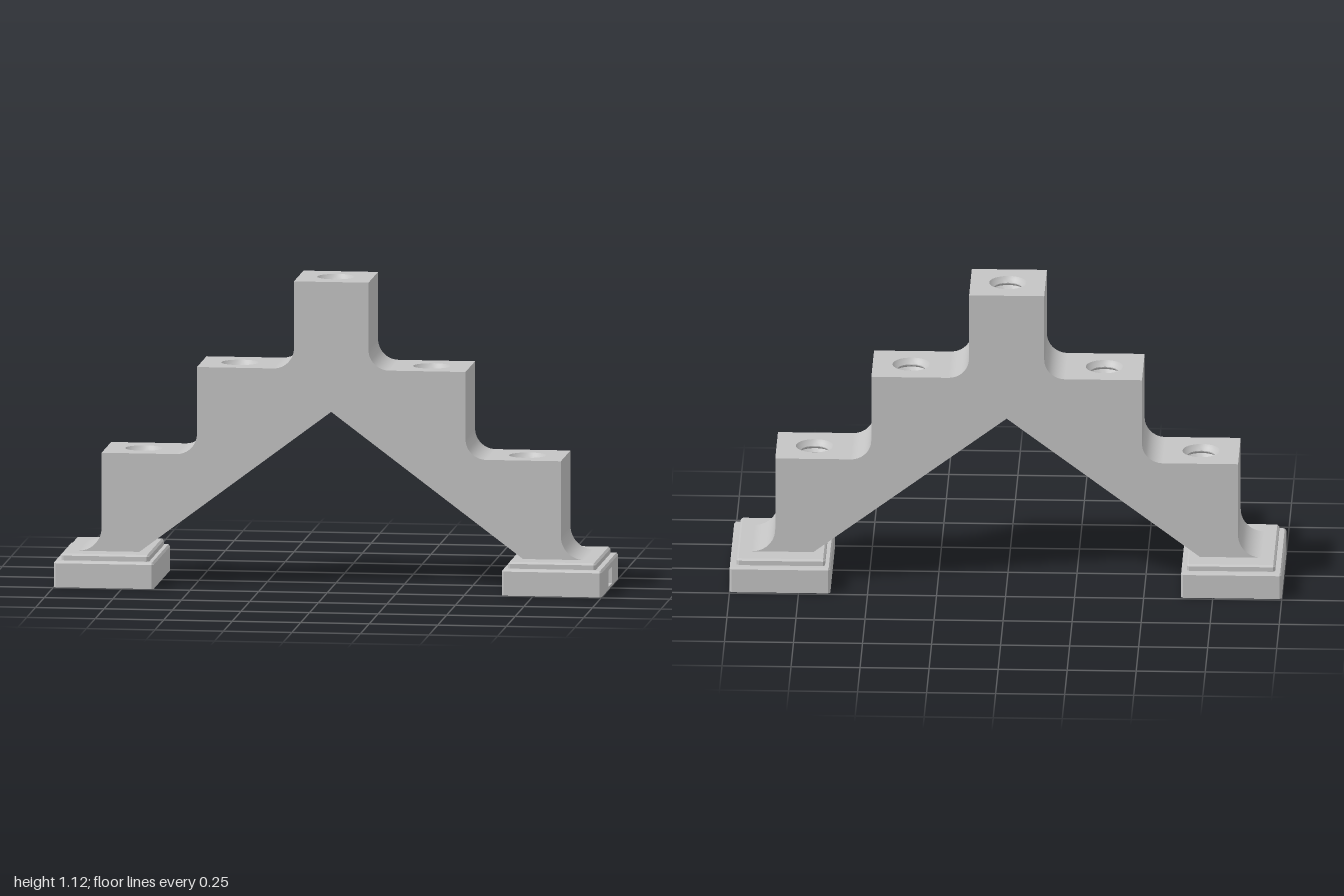
import * as THREE from 'three';
import { toCreasedNormals } from 'three/addons/utils/BufferGeometryUtils.js';

const HALF = 0.136;                    // half thickness of the arch
const MOUTH = 0.07, INNER = 0.085;     // half widths of the underside channel
const FLOOR = 0.12;                    // top of the feet
const END = 0.78;                      // outer end of the channel
const BORE = 0.068, PIN = 0.035;       // socket radii
const STEPS = [[0.136, 1.12, 0.8, 0.075], [0.49, 0.8, 0.48, 0.075], [0.838, 0.48, FLOOR, 0.085]]; // x, top, bottom, fillet
const roof = (x) => Math.min(0.77, 0.815 - 0.75 * Math.abs(x));
const polygon = (pts) => new THREE.Shape(pts.map(([x, y]) => new THREE.Vector2(x, y)));

export function createModel() {
  const model = new THREE.Group();
  const grey = new THREE.MeshStandardMaterial({ color: 0xc4c4c4, side: THREE.DoubleSide });
  grey.name = 'lightGrey';
  const arch = new THREE.Group();
  arch.name = 'steppedArch';
  model.add(arch);

  const add = (geometry, name, parent = arch) => {
    const mesh = new THREE.Mesh(geometry, grey);
    mesh.name = name;
    parent.add(mesh);
  };

  // Flat panel spanning a to b in the xy plane and z0 to z1, optionally pierced by a vertical bore
  const panel = (name, a, b, z0, z1, holeX, r) => {
    const dx = b[0] - a[0], dy = b[1] - a[1], len = Math.hypot(dx, dy);
    const shape = polygon([[0, z0], [len, z0], [len, z1], [0, z1]]);
    if (r) {
      const stretch = len / Math.abs(dx);
      const hole = new THREE.Path();
      hole.absellipse(((holeX - a[0]) / dx) * len, 0, r * stretch, r, 0, Math.PI * 2, true);
      shape.holes.push(hole);
    }
    const geo = new THREE.ShapeGeometry(shape, 16);
    geo.applyMatrix4(new THREE.Matrix4().makeBasis(
      new THREE.Vector3(dx / len, dy / len, 0),
      new THREE.Vector3(0, 0, 1),
      new THREE.Vector3(dy / len, -dx / len, 0)
    ).setPosition(a[0], a[1], 0));
    add(geo, name);
  };

  // Flat upright plate at depth z
  const plate = (name, shape, z) => {
    const geo = new THREE.ShapeGeometry(shape, 6);
    geo.translate(0, 0, z);
    add(geo, name);
  };

  // Stepped side faces with filleted inner corners
  const side = new THREE.Shape();
  side.moveTo(0, 0.645);
  side.lineTo(0.7, FLOOR);
  for (const [x, top, bottom, r] of [...STEPS].reverse()) {
    side.lineTo(x + r, bottom);
    side.absarc(x + r, bottom + r, r, -Math.PI / 2, -Math.PI, true);
    side.lineTo(x, top);
  }
  for (const [x, top, bottom, r] of STEPS) {
    side.lineTo(-x, top);
    side.lineTo(-x, bottom + r);
    side.absarc(-x - r, bottom + r, r, 0, -Math.PI / 2, true);
  }
  side.lineTo(-0.7, FLOOR);
  plate('frontFace', side, HALF);
  plate('backFace', side, -HALF);

  // Treads, risers, fillets and the channel beneath, for both legs
  const topX = STEPS[0][0];
  panel('topTread', [topX, 1.12], [-topX, 1.12], -HALF, HALF, 0, BORE);
  panel('channelCrown', [-0.06, 0.77], [0.06, 0.77], -INNER, INNER, 0, PIN);
  for (const m of [1, -1]) {
    const span = (name, a, b, z0, z1, holeX, r) => {
      const p = [m * a[0], a[1]], q = [m * b[0], b[1]];
      panel(name, m > 0 ? p : q, m > 0 ? q : p, z0, z1, m * holeX, r);
    };
    STEPS.forEach(([x, top, bottom, r], i) => {
      span('riser', [x, bottom + r], [x, top], -HALF, HALF);
      const fillet = new THREE.CylinderGeometry(r, r, HALF * 2, 12, 1, true, m > 0 ? -Math.PI / 2 : 0, Math.PI / 2);
      fillet.rotateX(Math.PI / 2);
      fillet.translate(m * (x + r), bottom + r, 0);
      add(fillet, 'fillet');
      if (i < 2) span('tread', [STEPS[i + 1][0], bottom], [x + r, bottom], -HALF, HALF, 0.35 * (i + 1), BORE);
    });

    // Channel roof, pierced by the socket bores
    span('channelRoof', [0.06, 0.77], [0.525, roof(0.525)], -INNER, INNER, 0.35, PIN);
    span('channelRoof', [0.525, roof(0.525)], [END, roof(END)], -INNER, INNER, 0.7, PIN);
    span('channelEnd', [END, roof(END)], [END, FLOOR], -INNER, INNER);
    const lip = polygon([[0, 0.645], [0, 0.68], [m * 0.747, FLOOR], [m * 0.7, FLOOR]]);
    const wall = polygon([[0, 0.68], [0, 0.77], [m * 0.06, 0.77], [m * END, roof(END)], [m * END, FLOOR], [m * 0.747, FLOOR]]);
    for (const s of [1, -1]) {
      const range = (w) => (s > 0 ? [MOUTH, w] : [-w, -MOUTH]);
      span('soffit', [0, 0.645], [0.7, FLOOR], ...range(HALF));
      span('lipTop', [0.747, FLOOR], [0, 0.68], ...range(INNER));
      plate('lipEdge', lip, s * MOUTH);
      plate('channelWall', wall, s * INNER);
    }
  }

  // Threaded sockets narrowing to a through hole that meets the channel roof
  for (const [x, top] of [[-0.7, 0.48], [-0.35, 0.8], [0, 1.12], [0.35, 0.8], [0.7, 0.48]]) {
    const pts = [[BORE, top], [0.062, top - 0.01]];
    const pitch = 0.024;
    for (let i = 0; i < 5; i++) {
      const y = top - 0.01 - i * pitch;
      pts.push([0.051, y - pitch * 0.4], [0.051, y - pitch * 0.55], [0.063, y - pitch * 0.95]);
    }
    const ledge = top - 0.14;
    pts.push([0.051, ledge], [PIN, ledge], [PIN, 0]);
    const geo = new THREE.LatheGeometry(pts.map(([r, y]) => new THREE.Vector2(r, y)), 32);
    const pos = geo.attributes.position;
    for (let i = 0; i < pos.count; i++) {
      if (pos.getY(i) === 0) pos.setY(i, roof(x + pos.getX(i)));
    }
    geo.translate(x, 0, 0);
    add(toCreasedNormals(geo, 0.4), 'threadedSocket');
  }

  // Horizontal slab whose top outer edge is drawn in by a chamfer
  const slab = (name, parent, shape, w, d, y0, y1, chamfer, x = 0) => {
    const geo = new THREE.ExtrudeGeometry(shape, { depth: y1 - y0, bevelEnabled: false, curveSegments: 16 });
    geo.rotateX(-Math.PI / 2);
    const pos = geo.attributes.position;
    for (let i = 0; i < pos.count; i++) {
      if (pos.getY(i) < (y1 - y0) / 2) continue;
      const px = pos.getX(i), pz = pos.getZ(i);
      if (Math.abs(px) > w - 1e-4) pos.setX(i, px - Math.sign(px) * chamfer);
      if (Math.abs(pz) > d - 1e-4) pos.setZ(i, pz - Math.sign(pz) * chamfer);
    }
    geo.computeVertexNormals();
    geo.translate(x, y0, 0);
    add(geo, name, parent);
  };

  // Rectangle with clipped corners
  const corners = (w, d, c = 0.008) => [
    [w, d - c], [w - c, d], [c - w, d], [-w, d - c],
    [-w, c - d], [c - w, -d], [w - c, -d], [w, c - d]
  ];
  const rect = (w, d) => polygon(corners(w, d));
  const W = 0.1825, D = 0.24, CENTRE = 0.8175;

  // Cross-shaped recess outline reaching x = end
  const cross = (end) => {
    const half = [[end, 0.05], [0.05, 0.05], [0.05, 0.13], [-0.05, 0.13], [-0.05, 0.05], [-0.155, 0.05]];
    return [...half, ...half.map(([x, y]) => [x, -y]).reverse()];
  };
  const pierced = (w, d, offset) => {
    const shape = rect(w, d);
    const hole = new THREE.Path();
    hole.absarc(0.7 - CENTRE - offset, 0, PIN, 0, Math.PI * 2, true);
    shape.holes.push(hole);
    return shape;
  };

  // Feet: one solid, one with a recess beneath and a slot in its outer side
  for (const m of [1, -1]) {
    const foot = new THREE.Group();
    foot.name = m > 0 ? 'leftFoot' : 'rightFoot';
    foot.position.x = m * CENTRE;
    model.add(foot);
    if (m > 0) {
      const bottom = rect(W, D);
      bottom.holes.push(polygon(cross(0.16)));
      slab('footBottom', foot, bottom, W, D, 0, 0.01, 0);
      const slotted = polygon([...corners(W, D), ...cross(W).reverse()]);
      slab('slottedBlock', foot, slotted, W, D, 0.01, 0.07, 0);
      slab('footCover', foot, pierced(W, D, 0), W, D, 0.07, 0.088, 0);
    } else {
      slab('footBlock', foot, rect(W, D), W, D, 0, 0.088, 0);
    }
    const top = (w, d, o) => (m > 0 ? pierced(w, d, o) : rect(w, d));
    slab('footChamfer', foot, top(W, D, 0), W, D, 0.088, 0.096, 0.006);
    slab('footTierBase', foot, top(0.16, 0.216, -0.0025), 0.16, 0.216, 0.096, 0.113, 0, m * -0.0025);
    slab('footTierTop', foot, top(0.16, 0.216, -0.0025), 0.16, 0.216, 0.113, FLOOR, 0.007, m * -0.0025);
  }
  return model;
}
